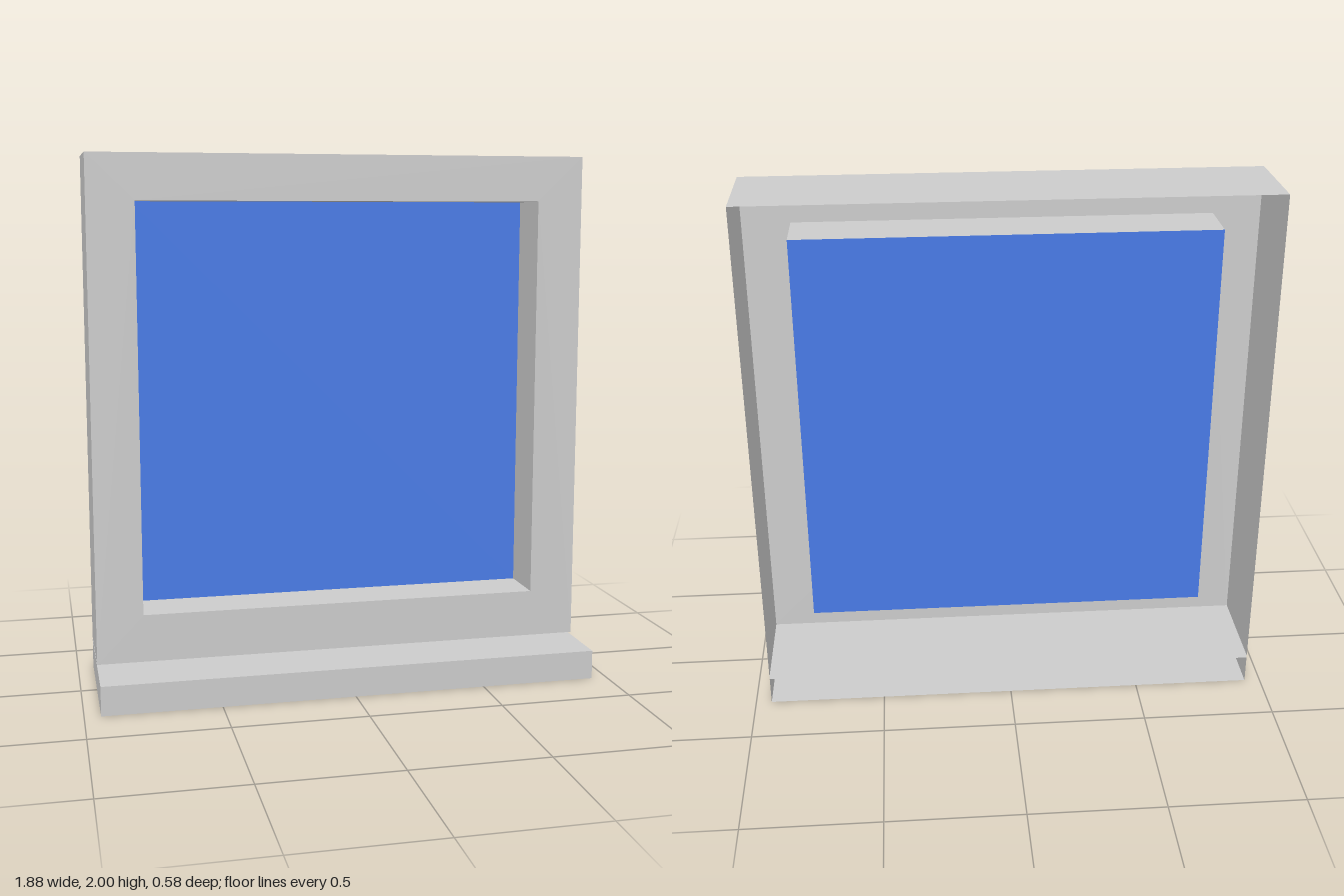
import * as THREE from 'three';

const grey = new THREE.MeshStandardMaterial({ color: 0xcccccc, side: THREE.DoubleSide });
const blue = new THREE.MeshStandardMaterial({ color: 0x487ae6, side: THREE.DoubleSide });

const HALF_W = 0.94, BACK = -0.29, FRONT = 0.07, PANE_Z = -0.13;
const FRAME_Y = [0.12, 2], HOLE_HALF = 0.765, HOLE_Y = [0.3, 1.83];

// Thin-walled box keeping only the first `faces` sides (order: +x, -x, +y, -y, +z, -z)
function shell(name, halfW, [y0, y1], [z0, z1], faces) {
  const geo = new THREE.BoxGeometry(2 * halfW, y1 - y0, z1 - z0);
  geo.setIndex(Array.from(geo.index.array).slice(0, faces * 6));
  geo.clearGroups();
  geo.translate(0, (y0 + y1) / 2, (z0 + z1) / 2);
  const mesh = new THREE.Mesh(geo, grey);
  mesh.name = name;
  return mesh;
}

function rectangle(path, halfW, [y0, y1]) {
  path.moveTo(-halfW, y0);
  path.lineTo(halfW, y0);
  path.lineTo(halfW, y1);
  path.lineTo(-halfW, y1);
  path.closePath();
  return path;
}

export function createModel() {
  const model = new THREE.Group();
  model.name = 'window';

  // Frame: front face with an opening, outer walls and inner reveal, open at the back
  const frame = new THREE.Group();
  frame.name = 'frame';
  const face = rectangle(new THREE.Shape(), HALF_W, FRAME_Y);
  face.holes.push(rectangle(new THREE.Path(), HOLE_HALF, HOLE_Y));
  const frameFront = new THREE.Mesh(new THREE.ShapeGeometry(face), grey);
  frameFront.name = 'frameFront';
  frameFront.position.z = FRONT;
  frame.add(
    frameFront,
    shell('frameOuterWalls', HALF_W, FRAME_Y, [BACK, FRONT], 4),
    shell('frameReveal', HOLE_HALF, HOLE_Y, [PANE_Z, FRONT], 4)
  );

  // Glass pane closing the inner end of the reveal
  const pane = new THREE.Mesh(
    new THREE.ShapeGeometry(rectangle(new THREE.Shape(), HOLE_HALF, HOLE_Y)), blue);
  pane.name = 'glassPane';
  pane.position.z = PANE_Z;

  // Sill: projects forward beneath the frame, open at the back
  model.add(frame, pane, shell('sill', HALF_W, [0, 0.11], [BACK, 0.29], 5));
  return model;
}
